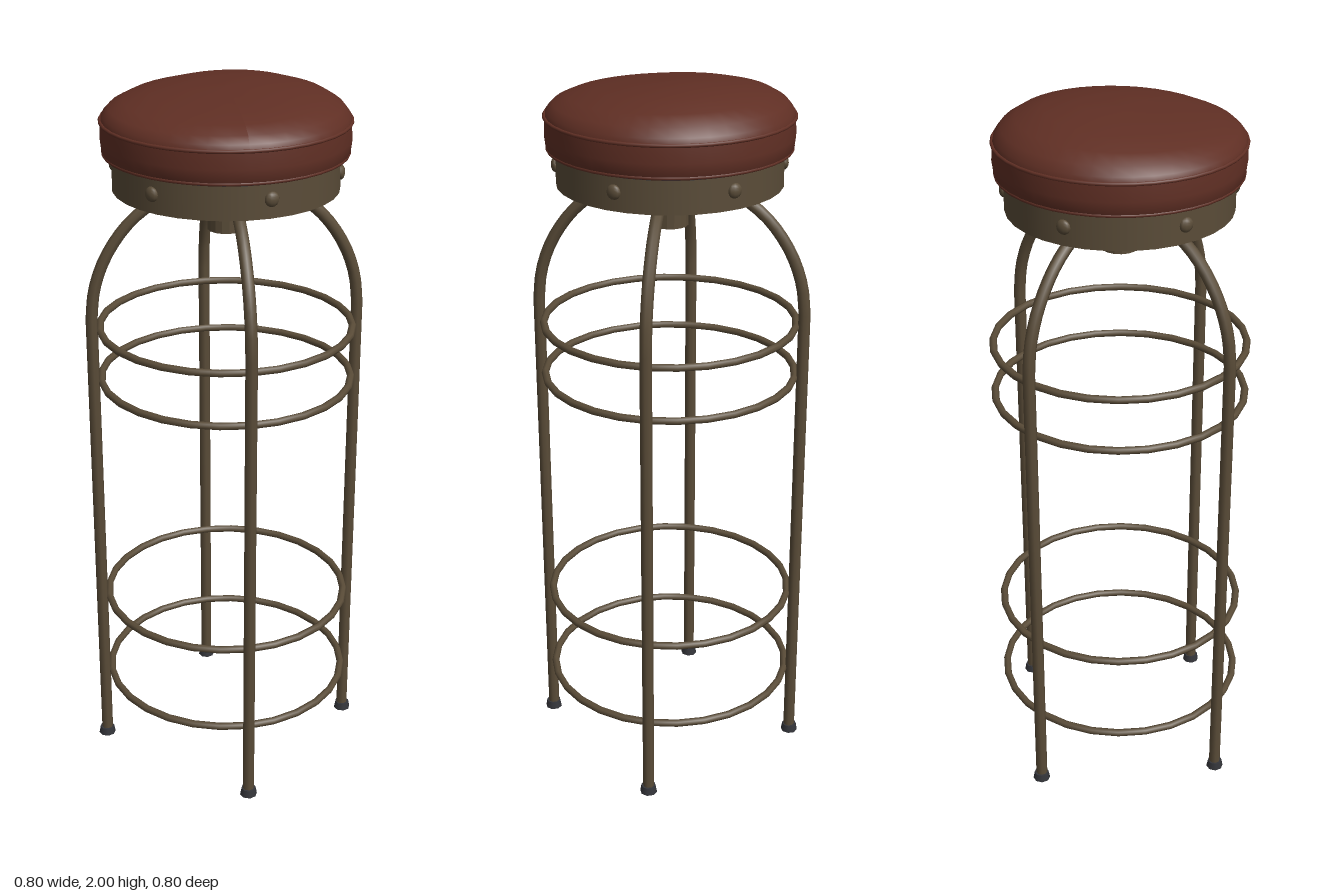
import * as THREE from 'three';

const V2 = (x, y) => new THREE.Vector2(x, y);
const V3 = (x, y, z) => new THREE.Vector3(x, y, z);

export function createModel() {
  const stool = new THREE.Group();
  stool.name = 'barStool';

  const material = (name, color, side = THREE.FrontSide) => {
    const m = new THREE.MeshStandardMaterial({ color, side });
    m.name = name;
    return m;
  };
  const leather = material('redLeather', 0x602f24);
  const metal = material('agedMetal', 0x5a4c38, THREE.DoubleSide);
  const dark = material('darkSteel', 0x34353a, THREE.DoubleSide);

  const add = (name, geometry, mat, x = 0, y = 0, z = 0, parent = stool) => {
    const mesh = new THREE.Mesh(geometry, mat);
    mesh.name = name;
    mesh.position.set(x, y, z);
    parent.add(mesh);
    return mesh;
  };
  const hoop = (name, radius, tube, y, mat, segments) => {
    const mesh = add(name, new THREE.TorusGeometry(radius, tube, 8, segments), mat, 0, y, 0);
    mesh.rotation.x = Math.PI / 2;
    return mesh;
  };

  // Cushion: padded side band and a slightly lopsided dome
  const side = new THREE.LatheGeometry([
    V2(0, 1.824), V2(0.318, 1.824), V2(0.329, 1.832), V2(0.333, 1.865), V2(0.33, 1.91),
  ], 40);
  add('cushionSide', side, leather);
  const dome = new THREE.LatheGeometry([
    V2(0.33, 1.91), V2(0.326, 1.927), V2(0.308, 1.947), V2(0.27, 1.967),
    V2(0.2, 1.985), V2(0.1, 1.995), V2(0, 1.997),
  ], 40);
  const p = dome.attributes.position;
  for (let i = 0; i < p.count; i++) {
    const x = p.getX(i), z = p.getZ(i);
    const falloff = 1 - (x * x + z * z) / (0.33 * 0.33);
    p.setY(i, p.getY(i) + 0.06 * (x - z) * falloff);
  }
  dome.computeVertexNormals();
  add('cushionTop', dome, leather);
  hoop('upperPiping', 0.331, 0.005, 1.911, leather, 40);
  hoop('lowerPiping', 0.325, 0.005, 1.828, leather, 40);

  // Metal band under the cushion, open below
  add('seatBand', new THREE.CylinderGeometry(0.305, 0.305, 0.089, 32, 1, true), metal, 0, 1.772, 0);
  add('bandLining', new THREE.CylinderGeometry(0.3, 0.3, 0.089, 32, 1, true), dark, 0, 1.772, 0);
  const rim = add('bandRim', new THREE.RingGeometry(0.3, 0.305, 32), metal, 0, 1.7275, 0);
  rim.rotation.x = Math.PI / 2;

  // Six round bolts on the band
  for (let i = 0; i < 6; i++) {
    const a = THREE.MathUtils.degToRad(12 + 60 * i);
    const bolt = add('bandBolt', new THREE.SphereGeometry(0.02, 10, 8), metal,
      Math.sin(a) * 0.305, 1.778, Math.cos(a) * 0.305);
    bolt.rotation.y = a;
    bolt.scale.z = 0.6;
  }

  // Mounting plate, screw and hollow hub
  add('mountingPlate', new THREE.BoxGeometry(0.24, 0.012, 0.24), dark, 0, 1.816, 0);
  add('seatScrew', new THREE.CylinderGeometry(0.03, 0.03, 0.2, 12), metal, 0, 1.715, 0);
  add('hub', new THREE.LatheGeometry([
    V2(0.036, 1.74), V2(0.036, 1.61), V2(0.05, 1.61), V2(0.05, 1.74), V2(0.036, 1.74),
  ], 16).toNonIndexed(), metal).geometry.computeVertexNormals();

  // Four legs arching in to the hub, each with a foot cap
  const legPath = new THREE.CurvePath();
  legPath.add(new THREE.LineCurve3(V3(0.373, 0.01, 0), V3(0.373, 1.38, 0)));
  legPath.add(new THREE.CatmullRomCurve3([
    V3(0.373, 1.38, 0), V3(0.362, 1.46, 0), V3(0.328, 1.55, 0), V3(0.265, 1.638, 0),
    V3(0.19, 1.695, 0), V3(0.1, 1.727, 0), V3(0, 1.735, 0),
  ]));
  const legGeometry = new THREE.TubeGeometry(legPath, 60, 0.0165, 8, false);
  for (let i = 0; i < 4; i++) {
    const leg = new THREE.Group();
    leg.name = 'leg';
    leg.rotation.y = i * Math.PI / 2;
    stool.add(leg);
    add('legTube', legGeometry, metal, 0, 0, 0, leg);
    add('footCap', new THREE.CylinderGeometry(0.021, 0.025, 0.022, 8), dark, 0.374, 0.011, 0, leg);
  }

  // Hoops bracing the legs
  for (const y of [0.226, 0.488, 1.183, 1.334]) hoop('braceHoop', 0.351, 0.0105, y, metal, 28);

  return stool;
}
